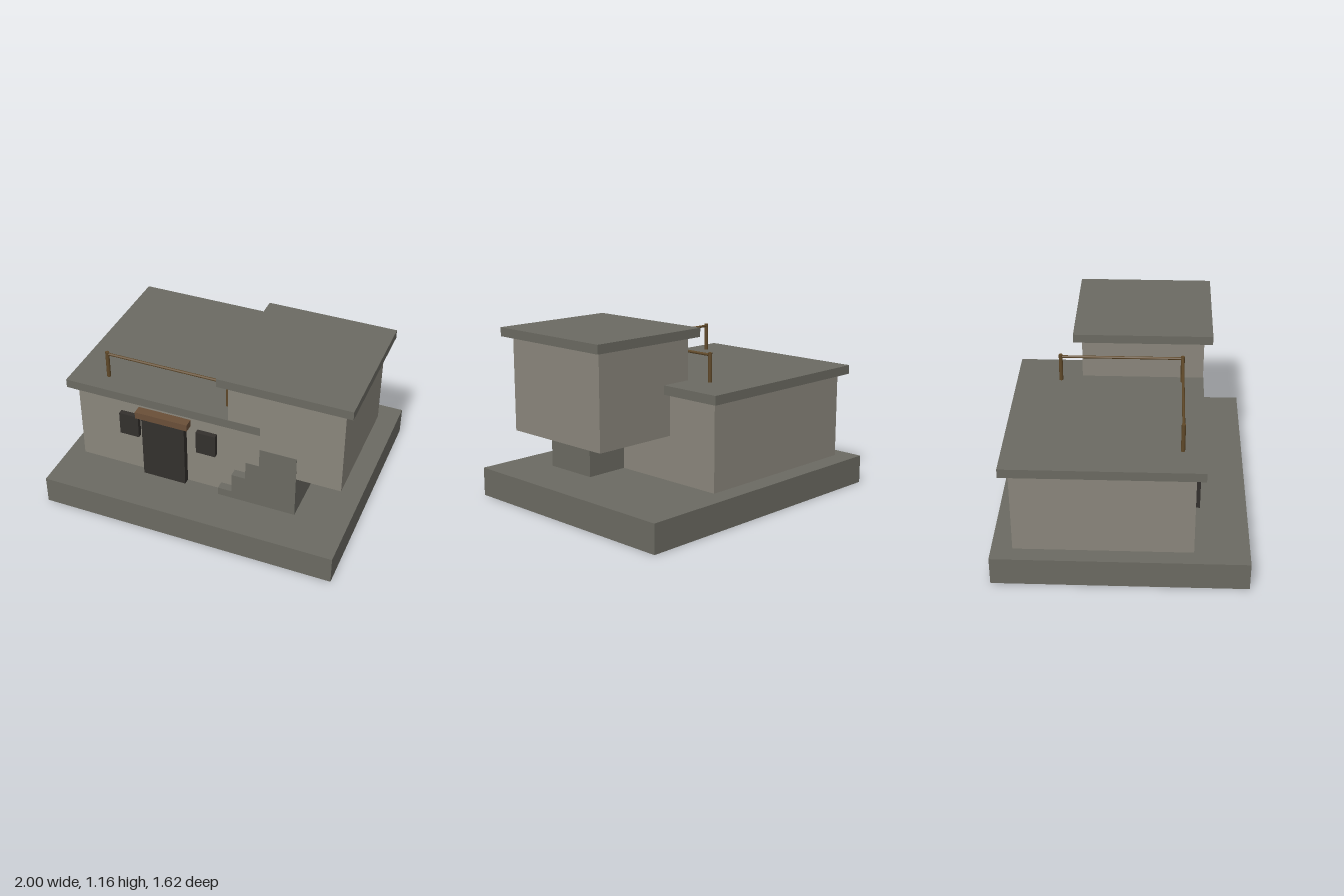
import * as THREE from 'three';

const mat = (color) => new THREE.MeshStandardMaterial({ color });

export function createModel() {
  const house = new THREE.Group();
  house.name = 'house';

  const stone = mat(0x6b6a62);
  const plaster = mat(0x8a867c);
  const dark = mat(0x33302d);
  const wood = mat(0x6a4f38);
  const railWood = mat(0x5f4828);

  function add(name, geometry, material) {
    const mesh = new THREE.Mesh(geometry, material);
    mesh.name = name;
    house.add(mesh);
    return mesh;
  }

  // Box given by its extents along each axis
  function box(name, material, [x0, x1], [y0, y1], [z0, z1]) {
    const mesh = add(name, new THREE.BoxGeometry(x1 - x0, y1 - y0, z1 - z0), material);
    mesh.position.set((x0 + x1) / 2, (y0 + y1) / 2, (z0 + z1) / 2);
  }

  // Round bar between two points
  function bar(name, a, b, radius) {
    const from = new THREE.Vector3(...a), dir = new THREE.Vector3(...b).sub(from);
    const mesh = add(name, new THREE.CylinderGeometry(radius, radius, dir.length(), 12), railWood);
    mesh.position.copy(from).addScaledVector(dir, 0.5);
    mesh.quaternion.setFromUnitVectors(new THREE.Vector3(0, 1, 0), dir.normalize());
  }

  // Plinth
  box('base', stone, [-1, 1], [0, 0.19], [-0.81, 0.81]);

  // Lower storey and its slab roof
  box('lowerWalls', plaster, [-0.89, 0.35], [0.19, 0.765], [-0.675, 0.46]);
  box('lowerRoof', stone, [-0.945, 0.405], [0.765, 0.825], [-0.73, 0.517]);

  // Raised, overhanging block and its roof
  box('upperWalls', plaster, [0.19, 0.945], [0.49, 1.105], [-0.295, 0.515]);
  box('upperRoof', stone, [0.135, 1], [1.105, 1.163], [-0.35, 0.57]);

  // Door, lintel and windows
  box('door', dark, [-0.42, -0.12], [0.19, 0.655], [0.44, 0.505]);
  box('lintel', wood, [-0.455, -0.09], [0.655, 0.703], [0.44, 0.523]);
  for (const x of [-0.517, 0.025]) {
    box('window', dark, [x - 0.067, x + 0.067], [0.477, 0.64], [0.44, 0.495]);
  }

  // Solid flight of steps rising to the left
  const steps = [[0.12, 0.245], [0.215, 0.385], [0.31, 0.518], [0.403, 0.653]];
  const profile = new THREE.Shape().moveTo(0.65, 0.19).lineTo(0.65, 0.653);
  for (let i = steps.length - 1; i >= 0; i--) {
    const [x, y] = steps[i];
    profile.lineTo(x, y);
    profile.lineTo(x, i > 0 ? steps[i - 1][1] : 0.19);
  }
  const stairs = new THREE.ExtrudeGeometry(profile, { depth: 0.379, bevelEnabled: false });
  add('stairs', stairs, stone).position.z = 0.138;

  // Roof railing: three posts joined by two rails
  const posts = [[-0.705, 0.375], [0.133, 0.375], [0.133, -0.435]];
  posts.forEach(([x, z], i) => {
    bar('railPost', [x, 0.82, z], [x, 1.015, z], 0.013);
    if (i > 0) {
      const [px, pz] = posts[i - 1];
      bar('handrail', [px, 1, pz], [x, 1, z], 0.009);
    }
  });

  return house;
}
